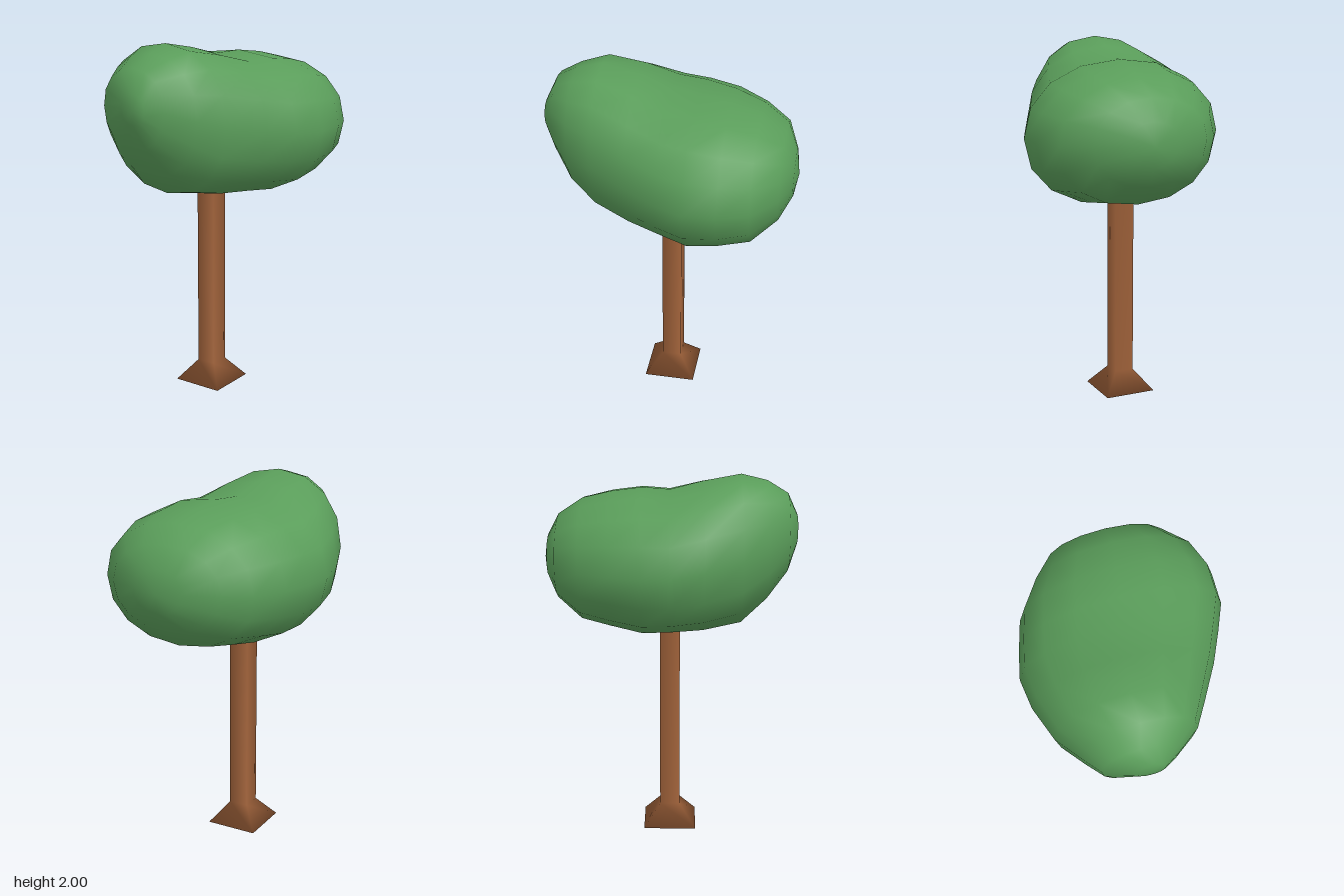
import * as THREE from 'three';
import { mergeVertices } from 'three/addons/utils/BufferGeometryUtils.js';

const leafGreen = new THREE.MeshStandardMaterial({ name: 'leafGreen', color: 0x5a9d5a });
const barkBrown = new THREE.MeshStandardMaterial({ name: 'barkBrown', color: 0xa0623a });

// Square post that flares out at the foot, with smooth corners
function createTrunk() {
  const profile = [[0, 0], [0.145, 0], [0.055, 0.115], [0.055, 1.3]]
    .map(([half, y]) => new THREE.Vector2(half * Math.SQRT2, y));
  const trunk = new THREE.Mesh(new THREE.LatheGeometry(profile, 4, Math.PI / 4), barkBrown);
  trunk.name = 'trunk';
  trunk.position.z = -0.066;
  return trunk;
}

// Lumpy crown lofted through upright sections along x
function createCrown() {
  // x, bottom, top, back, front
  const sections = [
    [-0.692, 1.7, 1.7, -0.05, -0.05],
    [-0.685, 1.62, 1.78, -0.13, 0.02],
    [-0.63, 1.48, 1.9, -0.29, 0.1],
    [-0.52, 1.325, 1.965, -0.37, 0.23],
    [-0.38, 1.2, 2.0, -0.47, 0.31],
    [-0.18, 1.16, 1.96, -0.54, 0.42],
    [0, 1.145, 1.91, -0.565, 0.5],
    [0.15, 1.13, 1.915, -0.535, 0.56],
    [0.32, 1.165, 1.89, -0.49, 0.56],
    [0.48, 1.195, 1.85, -0.385, 0.5],
    [0.61, 1.31, 1.765, -0.27, 0.37],
    [0.67, 1.42, 1.65, -0.08, 0.21],
    [0.69, 1.525, 1.525, 0.06, 0.06],
  ];
  const sides = 16;
  const round = (v) => Math.sign(v) * Math.abs(v) ** 0.93;
  const positions = [];
  const index = [];
  sections.forEach(([x, bottom, top, back, front], i) => {
    for (let j = 0; j < sides; j++) {
      const angle = (j / sides) * Math.PI * 2;
      positions.push(
        x,
        (top + bottom) / 2 + ((top - bottom) / 2) * round(Math.cos(angle)),
        (front + back) / 2 + ((front - back) / 2) * round(Math.sin(angle)),
      );
      if (i === sections.length - 1) continue;
      const a = i * sides + j;
      const b = i * sides + ((j + 1) % sides);
      index.push(a, b, a + sides, b, b + sides, a + sides);
    }
  });
  let geometry = new THREE.BufferGeometry();
  geometry.setAttribute('position', new THREE.Float32BufferAttribute(positions, 3));
  geometry.setIndex(index);
  geometry = mergeVertices(geometry);
  geometry.computeVertexNormals();
  const crown = new THREE.Mesh(geometry, leafGreen);
  crown.name = 'crown';
  return crown;
}

export function createModel() {
  const tree = new THREE.Group();
  tree.name = 'tree';
  tree.add(createTrunk(), createCrown());
  return tree;
}
